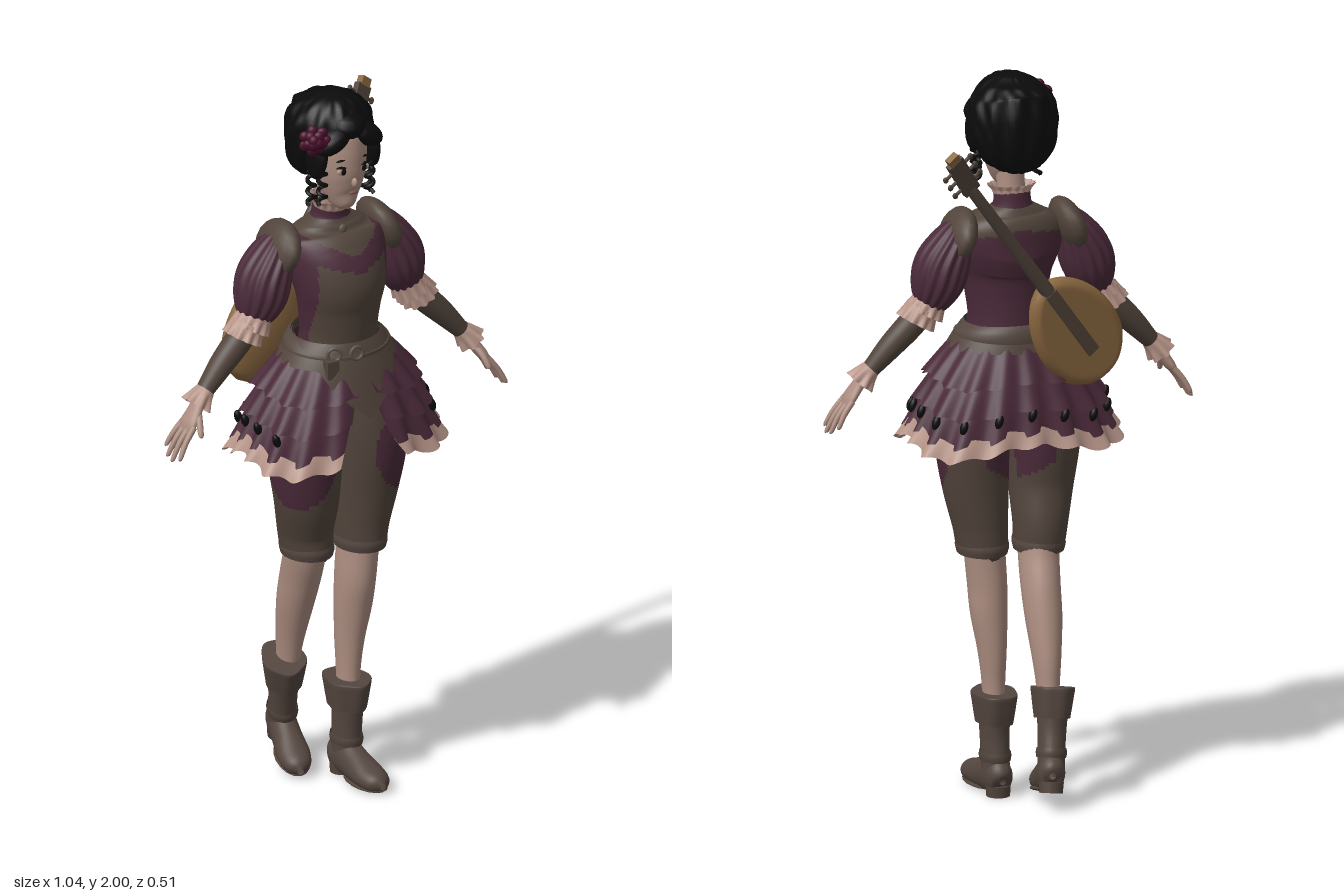
import * as THREE from 'three';
import { mergeVertices } from 'three/addons/utils/BufferGeometryUtils.js';

const V = (x, y, z) => new THREE.Vector3(x, y, z);
const mat = (name, color) => {
  const m = new THREE.MeshStandardMaterial({ color, side: THREE.DoubleSide });
  m.name = name;
  return m;
};

export function createModel() {
  const skin = mat('skin', 0xac8d80), lace = mat('lace', 0xb8968a), plum = mat('plum cloth', 0x4a2a39);
  const leather = mat('brown leather', 0x51443b), boot = mat('boot leather', 0x54463f), black = mat('black', 0x0b0b0c);
  const wood = mat('lute wood', 0x8b6840), petal = mat('flower petal', 0x460b28), metal = mat('dark metal', 0x5c524b), lip = mat('lips', 0x80504c);
  const model = new THREE.Group();
  let target = model;
  const within = (name, build) => {
    const g = new THREE.Group(), old = target;
    g.name = name; old.add(g); target = g; build(g); target = old;
    return g;
  };
  const add = (name, geo, m) => {
    const mesh = new THREE.Mesh(geo, m);
    mesh.name = name; target.add(mesh);
    return mesh;
  };

  // Smooth grid surface; pick chooses a material per cell when m is an array
  function surface(name, fn, nu, nv, m, pick) {
    const pts = [], cells = [[], []], w = nu + 1;
    for (let j = 0; j <= nv; j++) for (let i = 0; i <= nu; i++) pts.push(fn(i / nu, j / nv));
    for (let j = 0; j < nv; j++) for (let i = 0; i < nu; i++) {
      const a = j * w + i, b = a + w;
      const mid = pts[a].clone().add(pts[b + 1]).multiplyScalar(0.5);
      cells[pick ? pick(mid) : 0].push(a, b, a + 1, b, b + 1, a + 1);
    }
    let geo = new THREE.BufferGeometry().setFromPoints(pts);
    geo.setIndex([...cells[0], ...cells[1]]);
    if (pick) {
      geo.addGroup(0, cells[0].length, 0);
      geo.addGroup(cells[0].length, cells[1].length, 1);
    }
    geo = mergeVertices(geo);
    geo.computeVertexNormals();
    return add(name, geo, m);
  }

  // Elliptical sections [x, y, z, ra, rb] swept along their centres
  function loft(name, rows, m, { seg = 28, n = 28, ref = V(0, 0, 1), mod, post, pick } = {}) {
    const path = new THREE.CatmullRomCurve3(rows.map(r => V(r[0], r[1], r[2])), false, 'catmullrom');
    const radii = new THREE.CatmullRomCurve3(rows.map(r => V(r[3], r[4], 0)), false, 'catmullrom');
    return surface(name, (u, v) => {
      const T = path.getTangent(v), c = path.getPoint(v), r = radii.getPoint(v), a = u * Math.PI * 2;
      const B = ref.clone().addScaledVector(T, -T.dot(ref)).normalize(), A = T.clone().cross(B);
      const k = mod ? mod(a, v) : 1;
      c.addScaledVector(A, Math.max(r.x, 0.001) * k * Math.cos(a));
      c.addScaledVector(B, Math.max(r.y, 0.001) * k * Math.sin(a));
      if (post) post(c);
      return c;
    }, seg, n, m, pick);
  }
  function ball(name, m, p, s, rz = 0) {
    const b = add(name, new THREE.SphereGeometry(1, 16, 10), m);
    b.position.set(...p); b.scale.set(...s); b.rotation.z = rz;
    return b;
  }
  function box(name, m, p, s) {
    const b = add(name, new THREE.BoxGeometry(...s), m);
    b.position.set(...p);
    return b;
  }

  // Head, face and neck
  loft('head', [[0, 1.683, 0.112, 0.002, 0.002], [0, 1.693, 0.105, 0.024, 0.028], [0, 1.72, 0.085, 0.045, 0.056], [0, 1.76, 0.07, 0.062, 0.076],
    [0, 1.81, 0.062, 0.071, 0.087], [0, 1.86, 0.057, 0.073, 0.09], [0, 1.91, 0.053, 0.066, 0.082], [0, 1.96, 0.05, 0.03, 0.04]], skin);
  loft('neck', [[0, 1.62, 0.02, 0.046, 0.044], [0, 1.68, 0.03, 0.038, 0.038], [0, 1.75, 0.04, 0.04, 0.042]], skin, { n: 8 });
  ball('nose', skin, [0, 1.772, 0.144], [0.008, 0.014, 0.012]);
  ball('lips', lip, [0, 1.741, 0.139], [0.014, 0.005, 0.006]);
  for (const s of [1, -1]) {
    ball('eyeWhite', lace, [s * 0.033, 1.808, 0.1375], [0.017, 0.011, 0.006]);
    ball('iris', black, [s * 0.032, 1.808, 0.1415], [0.008, 0.01, 0.004]);
    ball('eyelid', black, [s * 0.034, 1.819, 0.138], [0.019, 0.0035, 0.006], s * 0.08);
    ball('brow', black, [s * 0.036, 1.84, 0.1375], [0.017, 0.0025, 0.005], s * -0.1);
  }

  // Hair: gathered volume, parted fringe and ringlets
  loft('hairVolume', [[0, 1.738, -0.005, 0.01, 0.01], [0, 1.765, -0.01, 0.08, 0.066], [0, 1.82, -0.005, 0.11, 0.095], [0, 1.88, 0.01, 0.119, 0.112],
    [0, 1.93, 0.028, 0.11, 0.116], [0, 1.97, 0.035, 0.08, 0.088], [0, 1.994, 0.035, 0.035, 0.04], [0, 2, 0.035, 0.002, 0.002]], black,
  { seg: 96, n: 40, mod: (a, v) => 1 + 0.03 * Math.sin(11 * a + 9 * v) + 0.018 * Math.sin(17 * a - 24 * v) });
  ball('hairline', black, [0, 1.925, 0.1], [0.055, 0.04, 0.058]);
  for (const s of [1, -1]) {
    ball('fringe', black, [s * 0.05, 1.895, 0.112], [0.058, 0.033, 0.045], s * -0.55);
    ball('templeHair', black, [s * 0.082, 1.845, 0.085], [0.023, 0.065, 0.045], s * 0.1);
    for (const [x, z, y0] of [[0.074, 0.1, 1.81], [0.086, 0.065, 1.8]]) {
      const curl = Array.from({ length: 25 }, (_, i) => V(s * (x + 0.011 * Math.cos(i * 0.8)), y0 - i * 0.0042, z + 0.011 * Math.sin(i * 0.8)));
      add('ringlet', new THREE.TubeGeometry(new THREE.CatmullRomCurve3(curl), 70, 0.006, 6), black);
    }
  }
  within('hairFlower', g => {
    for (let k = 0; k < 3; k++) for (let i = 0; i < 7 - k * 2; i++) {
      const a = i / (7 - k * 2) * Math.PI * 2 + k, r = 0.028 - k * 0.011;
      ball('petal', petal, [r * Math.cos(a), r * Math.sin(a), k * 0.009], [0.018, 0.016, 0.012], a);
    }
    g.position.set(-0.105, 1.905, 0.115);
    g.rotation.y = -0.5;
  });

  // Torso: plum jacket with leather yoke and front bodice
  loft('bodice', [[0, 1.16, 0.05, 0.15, 0.11], [0, 1.25, 0.055, 0.118, 0.1], [0, 1.32, 0.06, 0.106, 0.1], [0, 1.4, 0.065, 0.115, 0.105],
    [0, 1.47, 0.066, 0.13, 0.117], [0, 1.54, 0.042, 0.145, 0.112], [0, 1.59, 0.022, 0.14, 0.088], [0, 1.62, 0.02, 0.092, 0.062], [0, 1.64, 0.02, 0.056, 0.05]],
  [plum, leather], { seg: 96, n: 80, pick: p => {
    const x = Math.abs(p.x);
    if (p.z < 0.04) return p.y > 1.585 - 0.15 * x ? 1 : 0;
    return p.y > 1.56 + 0.45 * x || (p.y < 1.515 + 0.3 * x && x < 0.104) ? 1 : 0;
  } });
  loft('collar', [[0, 1.62, 0.02, 0.066, 0.056], [0, 1.645, 0.02, 0.052, 0.05], [0, 1.675, 0.023, 0.05, 0.05]], plum, { n: 10 });
  loft('collarRuffle', [[0, 1.67, 0.023, 0.05, 0.05], [0, 1.683, 0.025, 0.055, 0.053], [0, 1.695, 0.026, 0.064, 0.058]], lace,
    { seg: 96, n: 6, mod: (a, v) => 1 + 0.07 * v * Math.sin(16 * a) });
  ball('brooch', metal, [0, 1.615, 0.085], [0.012, 0.014, 0.008]);

  // Arms
  for (const s of [1, -1]) within(s > 0 ? 'leftArm' : 'rightArm', () => {
    const side = rows => rows.map(([x, ...r]) => [s * x, ...r]);
    ball('shoulderPad', leather, [s * 0.158, 1.57, 0.012], [0.041, 0.078, 0.094], s * 0.35);
    loft('puffSleeve', side([[0.15, 1.6, 0.01, 0.03, 0.04], [0.172, 1.56, 0.01, 0.05, 0.068], [0.2, 1.5, 0.012, 0.069, 0.082],
      [0.217, 1.445, 0.015, 0.068, 0.08], [0.234, 1.395, 0.018, 0.05, 0.056], [0.243, 1.375, 0.02, 0.03, 0.03]]), plum,
    { seg: 112, n: 20, mod: a => 1 + 0.045 * Math.cos(14 * a) });
    for (const d of [0, 0.024]) loft('sleeveRuffle', side([[0.232 + d, 1.4 - d, 0.02, 0.044, 0.05], [0.243 + d, 1.38 - d, 0.02, 0.048, 0.052], [0.254 + d, 1.36 - d, 0.02, 0.052, 0.056]]), lace,
      { seg: 80, n: 6, mod: (a, v) => 1 + 0.09 * v * Math.sin(11 * a) });
    loft('forearmGlove', side([[0.235, 1.39, 0.02, 0.036, 0.038], [0.29, 1.33, 0.022, 0.037, 0.038], [0.345, 1.275, 0.026, 0.033, 0.034],
      [0.4, 1.215, 0.032, 0.024, 0.026], [0.425, 1.19, 0.035, 0.021, 0.024]]), leather, { n: 20 });
    loft('wristRuffle', side([[0.398, 1.217, 0.033, 0.025, 0.028], [0.414, 1.2, 0.035, 0.031, 0.035], [0.43, 1.18, 0.037, 0.038, 0.044]]), lace,
      { seg: 64, n: 6, mod: (a, v) => 1 + 0.14 * v * Math.sin(7 * a) });
    loft('palm', side([[0.415, 1.2, 0.035, 0.016, 0.02], [0.435, 1.17, 0.04, 0.015, 0.027], [0.457, 1.138, 0.043, 0.014, 0.034], [0.472, 1.115, 0.043, 0.006, 0.025]]), skin, { n: 14 });
    for (let f = 0; f < 4; f++) {
      const z = 0.015 + f * 0.019, k = [0.75, 0.95, 1, 0.88][f], tz = z + (f - 1.5) * 0.009;
      loft('finger', side([[0.458, 1.135, z, 0.009, 0.009], [0.458 + 0.034 * k, 1.135 - 0.043 * k, (z + tz) / 2, 0.008, 0.008],
        [0.458 + 0.057 * k, 1.135 - 0.085 * k, tz, 0.006, 0.006], [0.458 + 0.059 * k, 1.135 - 0.091 * k, tz, 0.001, 0.001]]), skin, { seg: 10, n: 12 });
    }
    loft('thumb', side([[0.432, 1.17, 0.05, 0.01, 0.01], [0.443, 1.145, 0.077, 0.009, 0.009], [0.45, 1.117, 0.096, 0.007, 0.007], [0.451, 1.112, 0.098, 0.001, 0.001]]), skin,
      { seg: 10, n: 12 });
  });

  // Skirt: pleated tiers, open at the front, fuller at the diagonals, with a lace hem
  const { lerp } = THREE.MathUtils;
  const flare = y => Math.max(0, (1.31 - y) / 0.31) ** 0.75;
  function skirtPoint(a, y, out, wave) {
    const d = flare(y), corner = Math.sin(2 * a) ** 2;
    const k = 1 + wave * Math.cos(18 * a) + 0.12 * d * corner;
    return V((0.105 + 0.18 * d + out) * k * Math.sin(a), y + d * (0.015 - 0.032 * corner + 0.006 * Math.sin(18 * a)), 0.045 + (0.095 + 0.095 * d + out) * k * Math.cos(a));
  }
  function tier(name, y0, y1, out, m, wave) {
    surface(name, (u, v) => {
      const y = lerp(y0, y1, v), gap = 0.06 + Math.max(0, 1.22 - y) * 1.2;
      return skirtPoint(lerp(gap, Math.PI * 2 - gap, u), y, out * v, wave * (0.3 + 0.7 * v));
    }, 200, 8, m);
  }
  tier('skirtTopTier', 1.3, 1.17, 0.026, plum, 0.035);
  tier('skirtMiddleTier', 1.21, 1.095, 0.014, plum, 0.04);
  tier('skirtLowerTier', 1.13, 1.025, 0, plum, 0.045);
  tier('skirtLaceHem', 1.04, 0.993, 0.004, lace, 0.045);
  for (let i = 0; i < 13; i++) {
    const a = Math.PI + (i - 6) * 0.35, p = skirtPoint(a, 1.08, 0.004, 0.04 * Math.cos(18 * a));
    ball('blackTrim', black, [p.x, p.y, p.z], [0.011, 0.02, 0.011], 0.3);
  }

  // Waist leather with a pointed front, belt and buckles
  surface('waistPeplum', (u, v) => {
    const a = u * Math.PI * 2, f = Math.abs(a > Math.PI ? a - Math.PI * 2 : a);
    const y = lerp(1.315, 1.25 - 0.135 * Math.max(0, 1 - f / 0.75), v), d = flare(y - 0.01);
    return V((0.112 + 0.175 * d) * Math.sin(a), y, 0.05 + (0.107 + 0.1 * d) * Math.cos(a));
  }, 96, 12, leather);
  loft('belt', [[0, 1.273, 0.05, 0.15, 0.131], [0, 1.29, 0.05, 0.147, 0.13], [0, 1.31, 0.052, 0.126, 0.118]], boot, { n: 6, seg: 64 });
  for (const x of [-0.075, -0.015]) {
    const b = add('buckle', new THREE.TorusGeometry(0.018, 0.005, 8, 20), metal);
    b.position.set(x, 1.293, 0.05 + 0.132 * Math.sqrt(1 - (x / 0.147) ** 2));
    b.rotation.y = x * 5;
  }
  box('beltPouch', leather, [-0.085, 1.255, 0.165], [0.035, 0.05, 0.025]);

  // Breeches with plum side and seat panels, and bare lower legs; the right leg trails behind
  const panels = p => {
    const x = Math.abs(p.x), a = Math.atan2(p.z - 0.055, x - 0.1);
    const seat = p.z < 0.02 && x < 0.1 && p.y > 0.87 + x * 0.6;
    return seat || ((a - 0.7) / 1.25) ** 2 + ((p.y - 0.975) / 0.135) ** 2 < 1 ? 1 : 0;
  };
  for (const s of [1, -1]) {
    const back = s < 0 ? 0.02 : 0;
    loft(s > 0 ? 'leftBreeches' : 'rightBreeches', [[s * 0.07, 1.22, 0.05, 0.07, 0.085], [s * 0.09, 1.13, 0.053, 0.093, 0.105], [s * 0.1, 1.03, 0.055, 0.102, 0.111],
      [s * 0.1, 0.95, 0.055, 0.098, 0.106], [s * 0.093, 0.85, 0.05, 0.088, 0.093], [s * 0.082, 0.75, 0.046 - back, 0.074, 0.084],
      [s * 0.077, 0.685, 0.045 - back, 0.066, 0.08], [s * 0.077, 0.675, 0.045 - back, 0.05, 0.06]], [leather, plum], { seg: 64, n: 64, pick: panels });
    loft('breechesBand', [[s * 0.077, 0.705, 0.045 - back, 0.069, 0.083], [s * 0.077, 0.69, 0.045 - back, 0.071, 0.085], [s * 0.077, 0.672, 0.045 - back, 0.067, 0.081]], boot, { n: 6 });
  }
  loft('leftLeg', [[0.075, 0.75, 0.045, 0.056, 0.066], [0.068, 0.66, 0.047, 0.054, 0.066], [0.062, 0.58, 0.046, 0.052, 0.066], [0.06, 0.5, 0.038, 0.049, 0.059],
    [0.054, 0.4, 0.03, 0.038, 0.049], [0.05, 0.3, 0.03, 0.03, 0.04], [0.05, 0.2, 0.03, 0.03, 0.04]], skin);
  loft('rightLeg', [[-0.075, 0.75, 0.02, 0.056, 0.066], [-0.068, 0.66, 0.0, 0.054, 0.064], [-0.062, 0.58, -0.032, 0.052, 0.063], [-0.06, 0.5, -0.06, 0.049, 0.057],
    [-0.057, 0.4, -0.09, 0.038, 0.048], [-0.055, 0.32, -0.105, 0.03, 0.04], [-0.05, 0.23, -0.12, 0.028, 0.038]], skin);

  // Boots: shaft, folded cuff, foot, heel and ankle strap
  const buildBoot = name => within(name, () => {
    loft('shaft', [[0, 0.04, -0.01, 0.037, 0.048], [0, 0.1, -0.005, 0.037, 0.048], [0, 0.17, 0, 0.039, 0.047], [0, 0.25, 0, 0.044, 0.056]], boot, { n: 16 });
    loft('cuff', [[0, 0.27, 0, 0.042, 0.054], [0, 0.283, 0, 0.058, 0.079], [0, 0.25, 0, 0.055, 0.075], [0, 0.2, 0, 0.048, 0.064]], boot,
      { seg: 48, n: 20, mod: a => 1 + 0.04 * Math.sin(5 * a) });
    loft('foot', [[0, 0.045, -0.062, 0.008, 0.01], [0, 0.05, -0.05, 0.032, 0.042], [0, 0.055, -0.01, 0.038, 0.055], [0, 0.043, 0.05, 0.041, 0.047],
      [0, 0.032, 0.11, 0.045, 0.036], [0, 0.027, 0.155, 0.034, 0.027], [0, 0.024, 0.177, 0.008, 0.01]], boot,
    { ref: V(0, 1, 0), post: p => { p.y = Math.max(p.y, 0.01); } });
    const heel = add('heel', new THREE.CylinderGeometry(0.034, 0.032, 0.03, 20), leather);
    heel.position.set(0, 0.015, -0.026);
    ball('sole', leather, [0, 0.009, 0.09], [0.045, 0.009, 0.085]);
    loft('ankleStrap', [[0, 0.095, -0.004, 0.04, 0.052], [0, 0.108, -0.004, 0.042, 0.054], [0, 0.12, -0.004, 0.04, 0.052]], leather, { n: 4 });
  });
  const leftBoot = buildBoot('leftBoot'), rightBoot = buildBoot('rightBoot');
  leftBoot.position.set(0.047, 0, 0.03);
  leftBoot.rotation.y = 0.03;
  rightBoot.position.set(-0.038, 0.045, -0.165);
  rightBoot.rotation.set(0.25, -0.25, 0.06, 'YXZ');

  // Lute slung across the back, soundboard outwards
  within('lute', g => {
    loft('luteBody', [[0, -0.175, 0, 0.004, 0.004], [0, -0.158, 0, 0.06, 0.028], [0, -0.11, 0, 0.105, 0.042], [0, -0.05, 0, 0.122, 0.05],
      [0, 0.02, 0, 0.121, 0.05], [0, 0.09, 0, 0.099, 0.042], [0, 0.145, 0, 0.06, 0.03], [0, 0.175, 0, 0.012, 0.012]], wood,
    { seg: 48, post: p => { p.z = Math.max(p.z, -0.026); } });
    box('fingerboard', leather, [0, 0.035, -0.029], [0.036, 0.23, 0.008]);
    loft('luteNeck', [[0, 0.12, -0.015, 0.021, 0.018], [0, 0.35, -0.015, 0.018, 0.014], [0, 0.57, -0.015, 0.016, 0.012]], leather, { n: 8, seg: 16 });
    within('pegHead', h => {
      box('headstock', leather, [0, 0.06, 0], [0.05, 0.13, 0.018]);
      box('headTip', wood, [0, 0.134, 0], [0.034, 0.025, 0.02]);
      for (const s of [1, -1]) for (let i = 0; i < 3; i++) {
        const peg = add('peg', new THREE.CylinderGeometry(0.005, 0.005, 0.026, 8), leather);
        peg.position.set(s * 0.034, 0.025 + i * 0.036, 0);
        peg.rotation.z = Math.PI / 2;
        ball('pegKnob', leather, [s * 0.047, 0.025 + i * 0.036, 0], [0.008, 0.01, 0.006]);
      }
      h.position.set(0, 0.565, -0.015);
      h.rotation.x = -0.25;
    });
    const Y = V(0.34, 0.46, -0.085).normalize(), X = Y.clone().cross(V(0.15, 0, 1)).normalize();
    g.quaternion.setFromRotationMatrix(new THREE.Matrix4().makeBasis(X, Y, X.clone().cross(Y)));
    g.position.set(-0.13, 1.31, -0.1);
  });
  return model;
}
